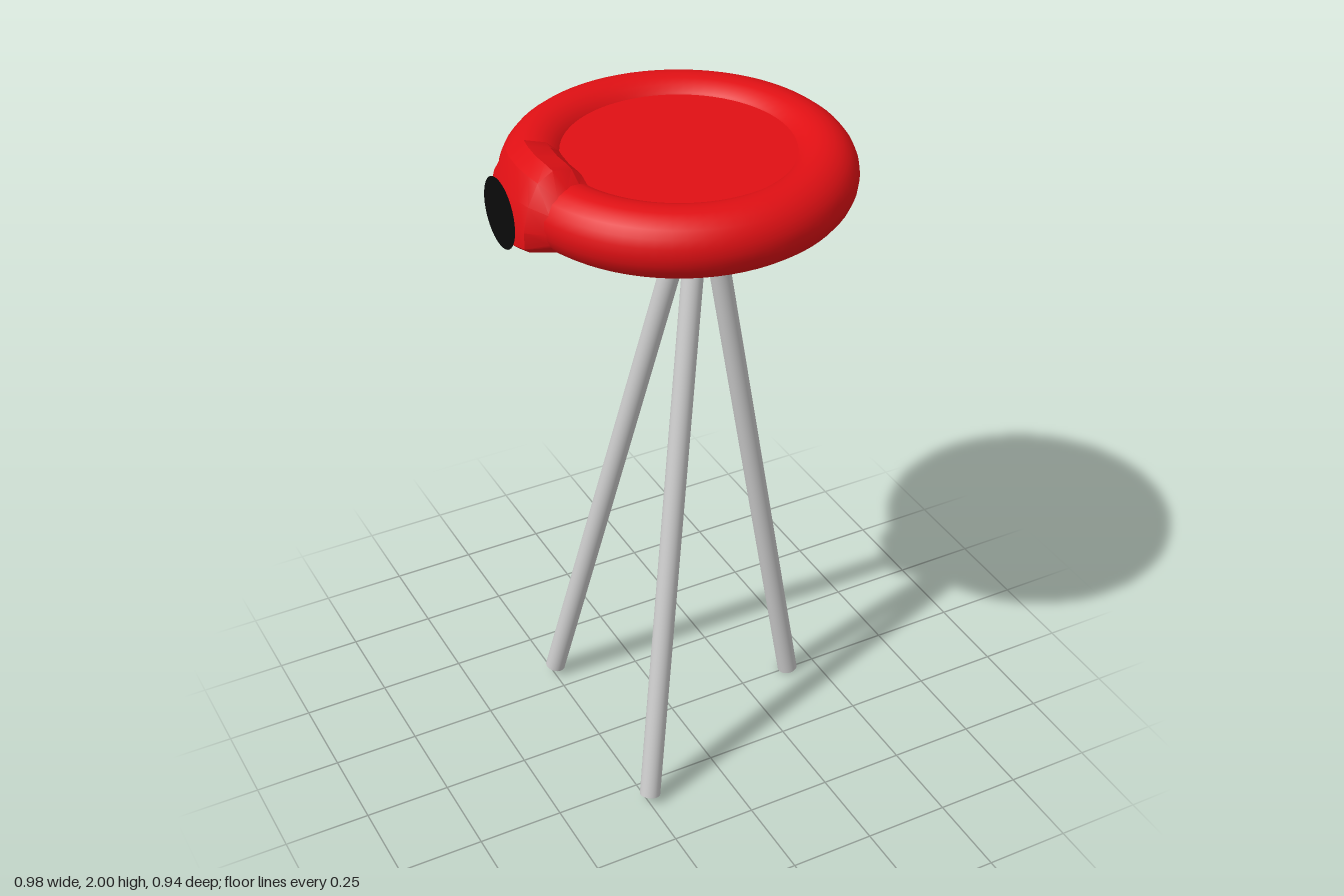
import * as THREE from 'three';
import { toCreasedNormals } from 'three/addons/utils/BufferGeometryUtils.js';

const CX = 0.02, CY = 1.865;      // centre of the ring
const RING = 0.378, TUBE = 0.0925;

export function createModel() {
  const model = new THREE.Group();
  const red = new THREE.MeshStandardMaterial({ color: 0xe01014 });
  const black = new THREE.MeshStandardMaterial({ color: 0x0a0a0a, side: THREE.DoubleSide });
  const grey = new THREE.MeshStandardMaterial({ color: 0xcccccc });

  const add = (name, geometry, material, x = 0, y = 0, z = 0) => {
    const mesh = new THREE.Mesh(geometry, material);
    mesh.name = name;
    mesh.position.set(x, y, z);
    model.add(mesh);
    return mesh;
  };

  // Round top: a fat ring filled by a recessed panel
  add('ring', new THREE.TorusGeometry(RING, TUBE, 24, 72).rotateX(Math.PI / 2), red, CX, CY, 0);
  add('centrePanel', new THREE.CylinderGeometry(0.325, 0.325, 0.122, 72), red, CX, CY, 0);

  // Raised housing on the ring, with a round black face
  add('housing', housingGeometry(), red);
  add('blackFace', new THREE.CircleGeometry(0.095, 40).rotateY(-Math.PI / 2), black, -0.49, CY, 0);

  // Three splayed legs meeting beneath the panel
  const apex = new THREE.Vector3(0.088, 1.865, 0);
  const feet = { leftLeg: [0.41, 0.005, 0], frontLeg: [-0.243, 0.027, 0.325], backLeg: [-0.243, 0.027, -0.325] };
  for (const [name, foot] of Object.entries(feet)) {
    const start = new THREE.Vector3(...foot);
    const axis = apex.clone().sub(start);
    const leg = add(name, new THREE.CylinderGeometry(0.03, 0.03, axis.length(), 24), grey);
    leg.position.copy(start).addScaledVector(axis, 0.5);
    leg.quaternion.setFromUnitVectors(new THREE.Vector3(0, 1, 0), axis.normalize());
  }
  return model;
}

// Sweeps a profile around the ring, blending into the ring's own section at both ends
function housingGeometry() {
  const profile = [
    [-0.47, 1.787], [-0.485, 1.80], [-0.484, 1.85], [-0.467, 1.92], [-0.435, 1.98], [-0.385, 2.0],
    [-0.325, 1.985], [-0.293, 1.955], [-0.284, 1.90], [-0.30, 1.82], [-0.36, 1.774], [-0.42, 1.777],
  ];
  // [angle in degrees, share of the full profile]
  const stations = [[-22, 0], [-15, 0.85], [-8, 1], [0, 1], [7, 1], [11.5, 0.85], [18, 0]];
  const positions = [], indices = [], n = profile.length;
  stations.forEach(([degrees, share], i) => {
    const a = THREE.MathUtils.degToRad(degrees);
    profile.forEach(([x, y], j) => {
      const dr = CX - x - RING, dy = y - CY;
      const k = THREE.MathUtils.lerp(TUBE * 0.98 / Math.hypot(dr, dy), 1, share);
      const r = RING + dr * k;
      positions.push(CX - r * Math.cos(a), CY + dy * k, r * Math.sin(a));
      if (i + 1 < stations.length) {
        const p = i * n + j, q = i * n + (j + 1) % n;
        indices.push(p, p + n, q, q, p + n, q + n);
      }
    });
  });
  const geometry = new THREE.BufferGeometry();
  geometry.setAttribute('position', new THREE.Float32BufferAttribute(positions, 3));
  geometry.setIndex(indices);
  return toCreasedNormals(geometry, 0.5);
}
